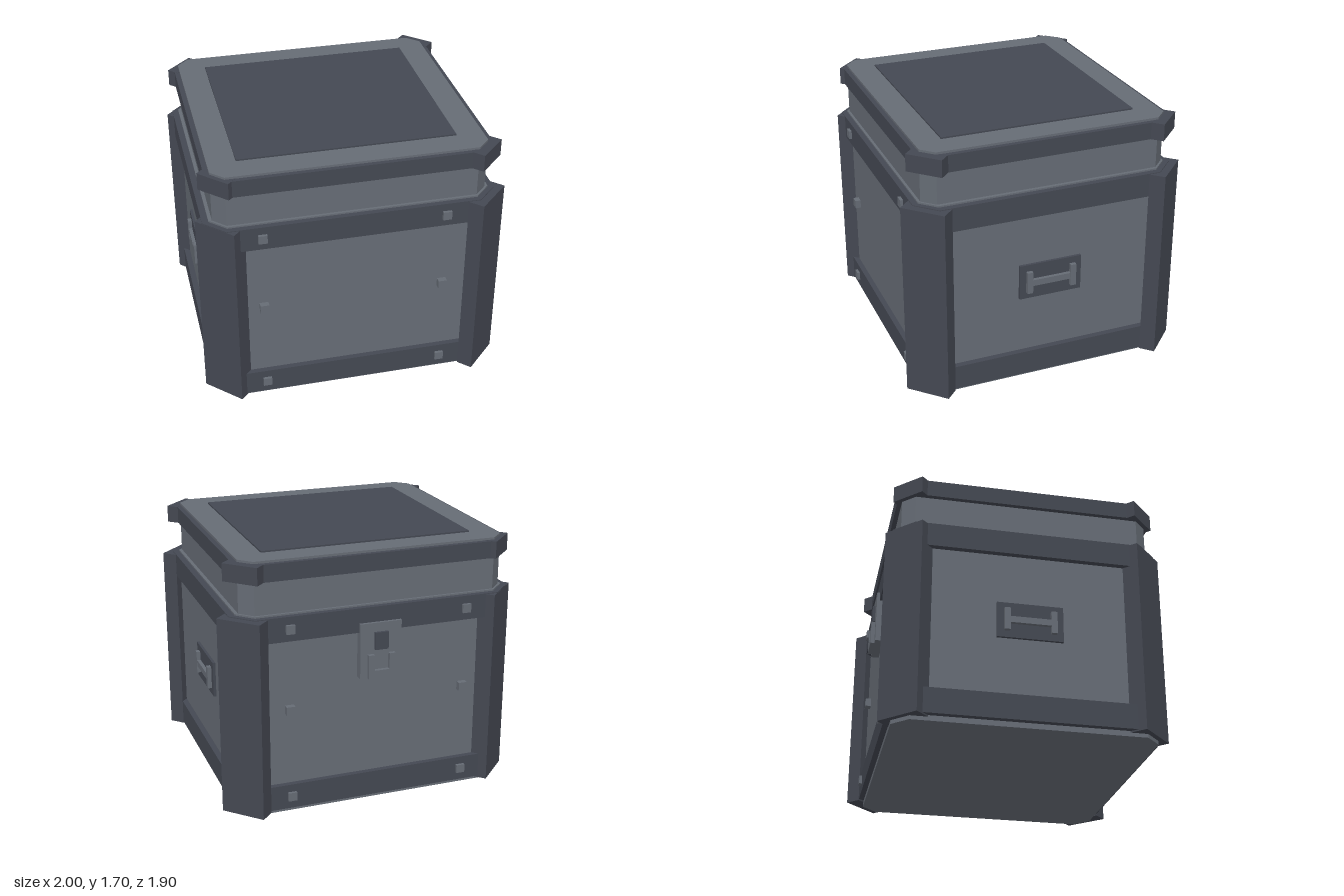
import * as THREE from 'three';

const CX = -0.02; // the case body sits slightly off the centre line

export function createModel() {
  const model = new THREE.Group();
  model.name = 'storageCrate';
  const steel = new THREE.MeshStandardMaterial({ color: 0x666c75 });
  steel.name = 'steelGrey';
  const dark = new THREE.MeshStandardMaterial({ color: 0x444852 });
  dark.name = 'darkSlate';

  const add = (name, geometry, material, parent = model) => {
    const mesh = new THREE.Mesh(geometry, material);
    mesh.name = name;
    parent.add(mesh);
    return mesh;
  };

  // Box given by its limits
  const box = (name, x0, x1, y0, y1, z0, z1, material, parent) => {
    const m = add(name, new THREE.BoxGeometry(x1 - x0, y1 - y0, z1 - z0), material, parent);
    m.position.set((x0 + x1) / 2, (y0 + y1) / 2, (z0 + z1) / 2);
    return m;
  };

  // Upright prism with chamfered corners
  const prism = (name, hx, hz, c, y0, y1, material) => {
    const pts = [[hx, hz - c], [hx - c, hz], [c - hx, hz], [-hx, hz - c],
      [-hx, c - hz], [c - hx, -hz], [hx - c, -hz], [hx, c - hz]];
    const shape = new THREE.Shape(pts.map(([x, z]) => new THREE.Vector2(x, z)));
    const g = new THREE.ExtrudeGeometry(shape, { depth: y1 - y0, bevelEnabled: false });
    g.rotateX(-Math.PI / 2);
    const m = add(name, g, material);
    m.position.set(CX, y0, 0);
    return m;
  };

  // Body, bands and lid
  prism('body', 0.9, 0.837, 0.1, 0, 1.345, steel);
  prism('lowerBand', 0.94, 0.873, 0.13, 0.035, 0.2, dark);
  prism('upperBand', 0.94, 0.873, 0.13, 1.175, 1.335, dark);
  prism('lid', 0.878, 0.82, 0.08, 1.345, 1.687, steel);
  prism('lidBand', 0.91, 0.85, 0.13, 1.56, 1.672, dark);
  box('lidPanel', -0.72, 0.68, 1.68, 1.697, -0.65, 0.645, dark);

  // Corner posts and lid corner blocks, turned 45 degrees
  const corner = (name, ax, az, bx, bz, thick, y0, y1, sx, sz) => {
    const length = Math.hypot(ax - bx, az - bz);
    const m = add(name, new THREE.BoxGeometry(length, y1 - y0, thick), dark);
    const inset = thick / 2 * Math.SQRT1_2;
    m.position.set(sx * ((ax + bx) / 2 - inset), (y0 + y1) / 2, sz * ((az + bz) / 2 - inset));
    m.rotation.y = sx * sz * Math.PI / 4;
  };
  for (const sz of [1, -1]) {
    corner('leftCornerPost', 0.785, 0.95, 0.995, 0.74, 0.105, 0.025, 1.33, 1, sz);
    corner('rightCornerPost', 0.79, 0.915, 1.0, 0.705, 0.113, 0.025, 1.33, -1, sz);
    corner('leftLidCorner', 0.78, 0.905, 0.95, 0.735, 0.085, 1.56, 1.673, 1, sz);
    corner('rightLidCorner', 0.805, 0.875, 0.97, 0.71, 0.085, 1.56, 1.673, -1, sz);
  }

  // Square studs on the front and back
  for (const sz of [1, -1]) {
    for (const x of [-0.61, 0.57]) {
      for (const [y, z] of [[0.12, 0.892], [0.71, 0.875], [1.255, 0.892]]) {
        const m = add('stud', new THREE.BoxGeometry(0.057, 0.057, 0.08), steel);
        m.position.set(x, y, sz * (z - 0.04));
      }
    }
  }

  // Side handles: dark plate with a raised grip
  for (const side of [1, -1]) {
    const handle = new THREE.Group();
    handle.name = side > 0 ? 'leftHandle' : 'rightHandle';
    handle.position.x = CX + side * 0.9;
    handle.rotation.y = side * Math.PI / 2;
    model.add(handle);
    box('handlePlate', -0.213, 0.213, 0.59, 0.83, -0.02, 0.018, dark, handle);
    box('handleBar', -0.135, 0.135, 0.685, 0.727, 0, 0.042, steel, handle);
    for (const s of [1, -1]) {
      const m = box('handleEnd', -0.019, 0.019, 0.635, 0.785, 0, 0.044, steel, handle);
      m.position.x = s * 0.15;
    }
  }

  // Latch on the back
  const latch = new THREE.Group();
  latch.name = 'latch';
  latch.position.x = CX;
  model.add(latch);
  box('latchPlate', -0.138, 0.138, 0.87, 1.235, -0.892, -0.82, steel, latch);
  box('latchButton', -0.045, 0.045, 1.06, 1.175, -0.91, -0.88, dark, latch);
  box('latchClaspBase', -0.09, 0.09, 0.87, 0.925, -0.918, -0.88, steel, latch);
  for (const s of [1, -1]) {
    const m = box('latchClaspProng', -0.02, 0.02, 0.925, 1.03, -0.918, -0.88, steel, latch);
    m.position.x = s * 0.07;
  }
  return model;
}
